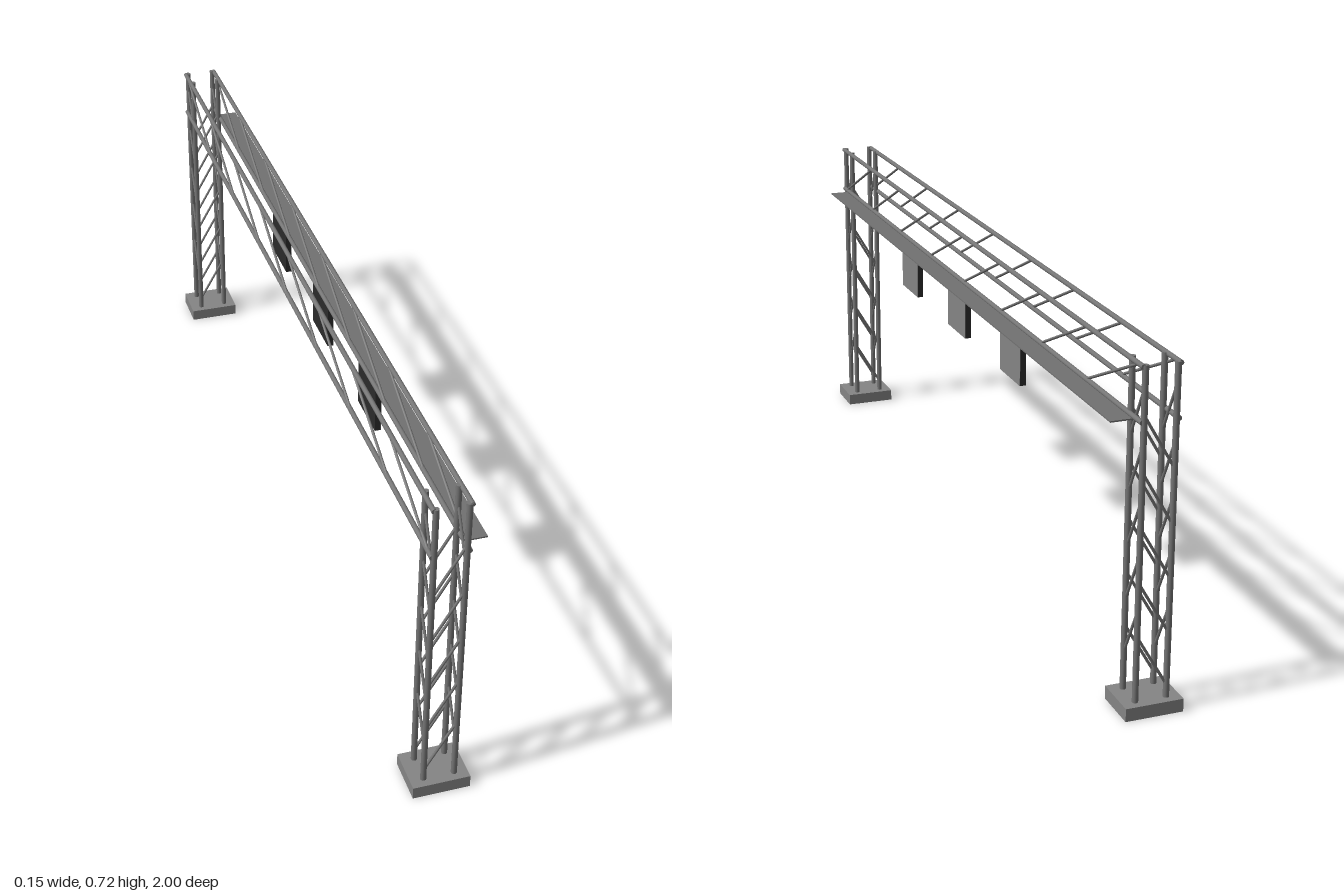
import * as THREE from 'three';

const material = (name, color) => {
  const m = new THREE.MeshStandardMaterial({ color });
  m.name = name;
  return m;
};

export function createModel() {
  const steel = material('steel grey', 0x767676);
  const concrete = material('concrete grey', 0x858585);
  const walkwayGrey = material('walkway grey', 0x727272);
  const panelGrey = material('panel grey', 0x848484);
  const black = material('housing black', 0x2b2b2b);

  const model = new THREE.Group();
  model.name = 'gantry';

  const box = (name, mat, parent, [w, h, d], [x, y, z]) => {
    const mesh = new THREE.Mesh(new THREE.BoxGeometry(w, h, d), mat);
    mesh.name = name;
    mesh.position.set(x, y, z);
    parent.add(mesh);
  };

  // Round bar between two points
  const up = new THREE.Vector3(0, 1, 0);
  const bar = (name, parent, a, b, r, sides = 12) => {
    const start = new THREE.Vector3(...a), end = new THREE.Vector3(...b);
    const dir = end.clone().sub(start);
    const mesh = new THREE.Mesh(new THREE.CylinderGeometry(r, r, dir.length(), sides), steel);
    mesh.name = name;
    mesh.position.copy(start).add(end).multiplyScalar(0.5);
    mesh.quaternion.setFromUnitVectors(up, dir.normalize());
    parent.add(mesh);
  };

  const cx = -0.0134;   // centre line of the truss
  const px = 0.033;     // half spacing of posts across
  const pz = 0.029;     // half spacing of posts along
  const step = 0.1135;  // lattice pitch

  // Two lattice towers on concrete footings
  for (const end of [1, -1]) {
    const tower = new THREE.Group();
    tower.name = end > 0 ? 'frontTower' : 'backTower';
    tower.position.set(cx, 0, end * 0.95);
    model.add(tower);
    box('footing', concrete, tower, [0.123, 0.028, 0.1], [0, 0.014, 0]);
    for (const sx of [-1, 1]) for (const sz of [-1, 1]) {
      bar('post', tower, [sx * px, 0.02, sz * pz], [sx * px, 0.72, sz * pz], 0.0064);
    }
    for (let i = 0; i < 5; i++) {
      const y = 0.054 + i * step, y2 = y + 0.056;
      for (const s of [-1, 1]) {
        bar('crossBrace', tower, [-px, y, s * pz], [px, y + step, s * pz], 0.003, 8);
        bar('sideBrace', tower, [s * px, y2, pz], [s * px, y2 + step, -pz], 0.003, 8);
      }
    }
  }

  // Overhead beam: four chords with slanted braces on both sides
  const beam = new THREE.Group();
  beam.name = 'beam';
  model.add(beam);
  const low = 0.608, high = 0.7165;
  for (const s of [-1, 1]) {
    const x = cx + s * 0.0378;
    for (const y of [low, high]) bar('chord', beam, [x, y, -0.982], [x, y, 0.982], 0.0053);
    for (let i = 0; i < 8; i++) {
      const z = 0.96 - i * 0.24;
      bar('beamBrace', beam, [x, low, z], [x, high, z - 0.24], 0.003, 8);
    }
  }

  // Walkway along the left side
  box('walkway', walkwayGrey, model, [0.047, 0.003, 1.894], [0.0495, 0.604, 0]);

  // Hanging sign boards with a pale face on a dark housing
  for (const z of [0.35, 0.002, -0.345]) {
    const sign = new THREE.Group();
    sign.name = 'sign';
    sign.position.set(0, 0.546, z);
    model.add(sign);
    box('signHousing', black, sign, [0.013, 0.113, 0.119], [0.0335, 0, 0]);
    box('signFace', panelGrey, sign, [0.001, 0.113, 0.119], [0.0405, 0, 0]);
  }
  return model;
}
